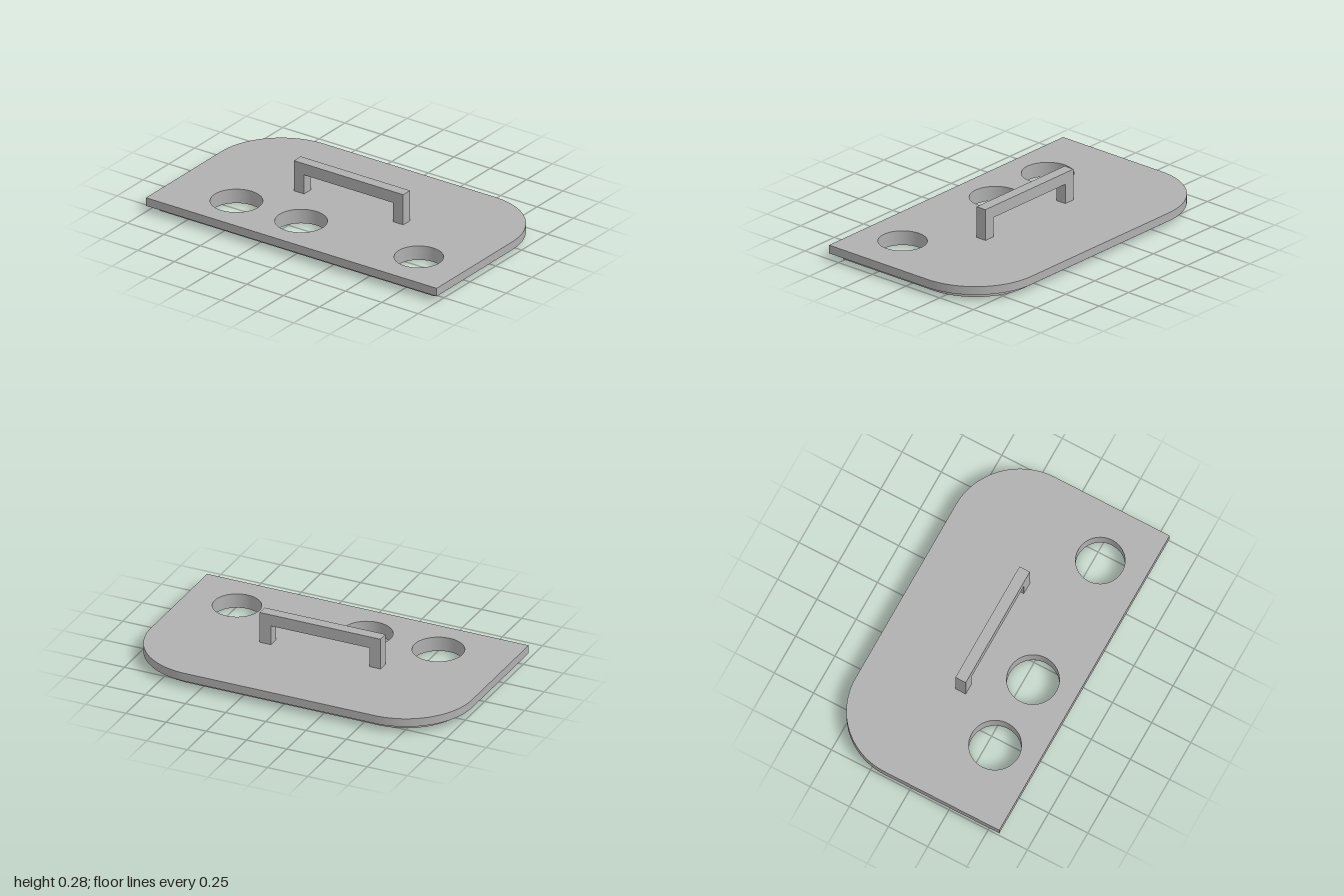
import * as THREE from 'three';
import { toCreasedNormals } from 'three/addons/utils/BufferGeometryUtils.js';

// Hole centres [x, z] and radius, shared by both layers
const HOLES = [
  [-0.308, -0.565, 0.148],
  [-0.308, -0.12, 0.148],
  [-0.3, 0.684, 0.139],
];

// Slab with two square corners at -x and two rounded corners at +x
function slab(halfX, halfZ, radius, bottom, top) {
  const shape = new THREE.Shape();
  shape.moveTo(-halfX, -halfZ);
  shape.lineTo(halfX - radius, -halfZ);
  shape.absarc(halfX - radius, -halfZ + radius, radius, -Math.PI / 2, 0, false);
  shape.lineTo(halfX, halfZ - radius);
  shape.absarc(halfX - radius, halfZ - radius, radius, 0, Math.PI / 2, false);
  shape.lineTo(-halfX, halfZ);
  shape.closePath();
  for (const [x, z, r] of HOLES) {
    shape.holes.push(new THREE.Path().absarc(x, z, r, 0, Math.PI * 2, true));
  }
  const geometry = new THREE.ExtrudeGeometry(shape, {
    depth: top - bottom, bevelEnabled: false, curveSegments: 32,
  });
  geometry.rotateX(Math.PI / 2); // shape y becomes z, depth runs downward
  geometry.translate(0, top, 0);
  return toCreasedNormals(geometry, 0.6);
}

// Squared arch standing on the lid, running along z
function handleGeometry() {
  const outer = 0.376, inner = 0.306, base = 0.087, under = 0.205, top = 0.275;
  const shape = new THREE.Shape([
    [-outer, base], [-inner, base], [-inner, under], [inner, under],
    [inner, base], [outer, base], [outer, top], [-outer, top],
  ].map(([x, y]) => new THREE.Vector2(x, y)));
  const geometry = new THREE.ExtrudeGeometry(shape, { depth: 0.066, bevelEnabled: false });
  geometry.rotateY(Math.PI / 2);
  geometry.translate(-0.018, 0, 0);
  return geometry;
}

export function createModel() {
  const grey = new THREE.MeshStandardMaterial({ color: 0xb0b0b0 });
  grey.name = 'grey';
  const group = new THREE.Group();
  group.name = 'lid';

  const add = (name, geometry) => {
    const mesh = new THREE.Mesh(geometry, grey);
    mesh.name = name;
    group.add(mesh);
  };

  add('topPlate', slab(0.571, 1, 0.41, 0.037, 0.087));
  add('lowerLip', slab(0.516, 0.946, 0.356, 0, 0.037));
  add('handle', handleGeometry());
  return group;
}
